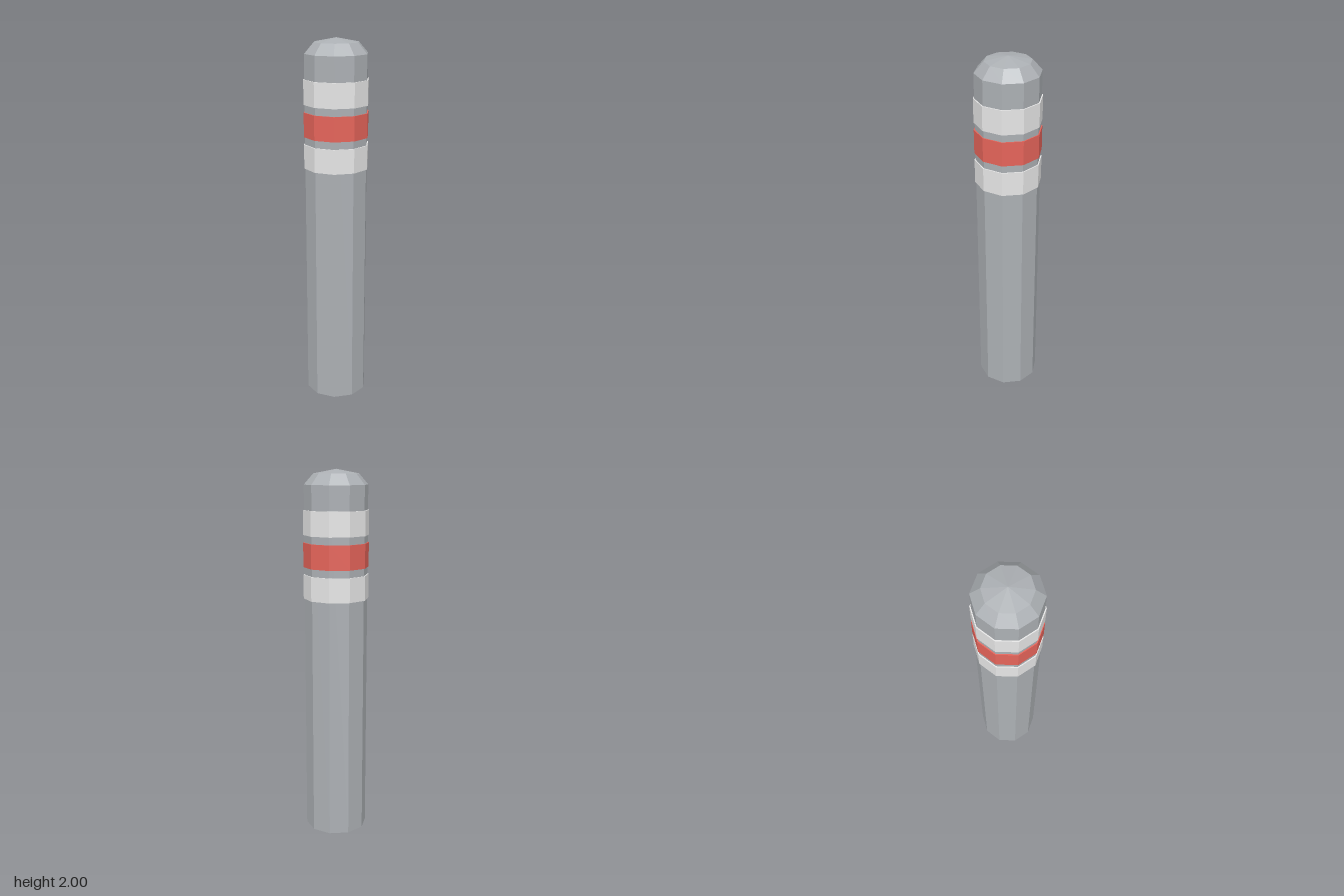
import * as THREE from 'three';

const SIDES = 10;

export function createModel() {
  const steel = new THREE.MeshStandardMaterial({ name: 'grey steel', color: 0xacb0b4, flatShading: true });
  const white = new THREE.MeshStandardMaterial({ name: 'white band', color: 0xe6e6e6, flatShading: true });
  const red = new THREE.MeshStandardMaterial({ name: 'red band', color: 0xe5645a, flatShading: true });

  const group = new THREE.Group();
  group.name = 'bollard';

  // Turns a [radius, height] profile into a ten-sided part
  const turned = (name, profile, material) => {
    const points = profile.map(([r, y]) => new THREE.Vector2(r, y));
    const mesh = new THREE.Mesh(new THREE.LatheGeometry(points, SIDES), material);
    mesh.name = name;
    group.add(mesh);
  };

  // Post with a bevelled, slightly pointed cap
  turned('post', [[0, 0], [0.17, 0], [0.17, 1.92], [0.12, 1.977], [0, 2]], steel);

  // Raised bands around the upper post
  const bands = [
    ['lowerBand', 1.32, white],
    ['middleBand', 1.49, red],
    ['upperBand', 1.66, white],
  ];
  for (const [name, y, material] of bands) {
    const top = y + 0.13;
    turned(name, [[0.165, y], [0.176, y], [0.176, top], [0.165, top]], material);
  }

  return group;
}
